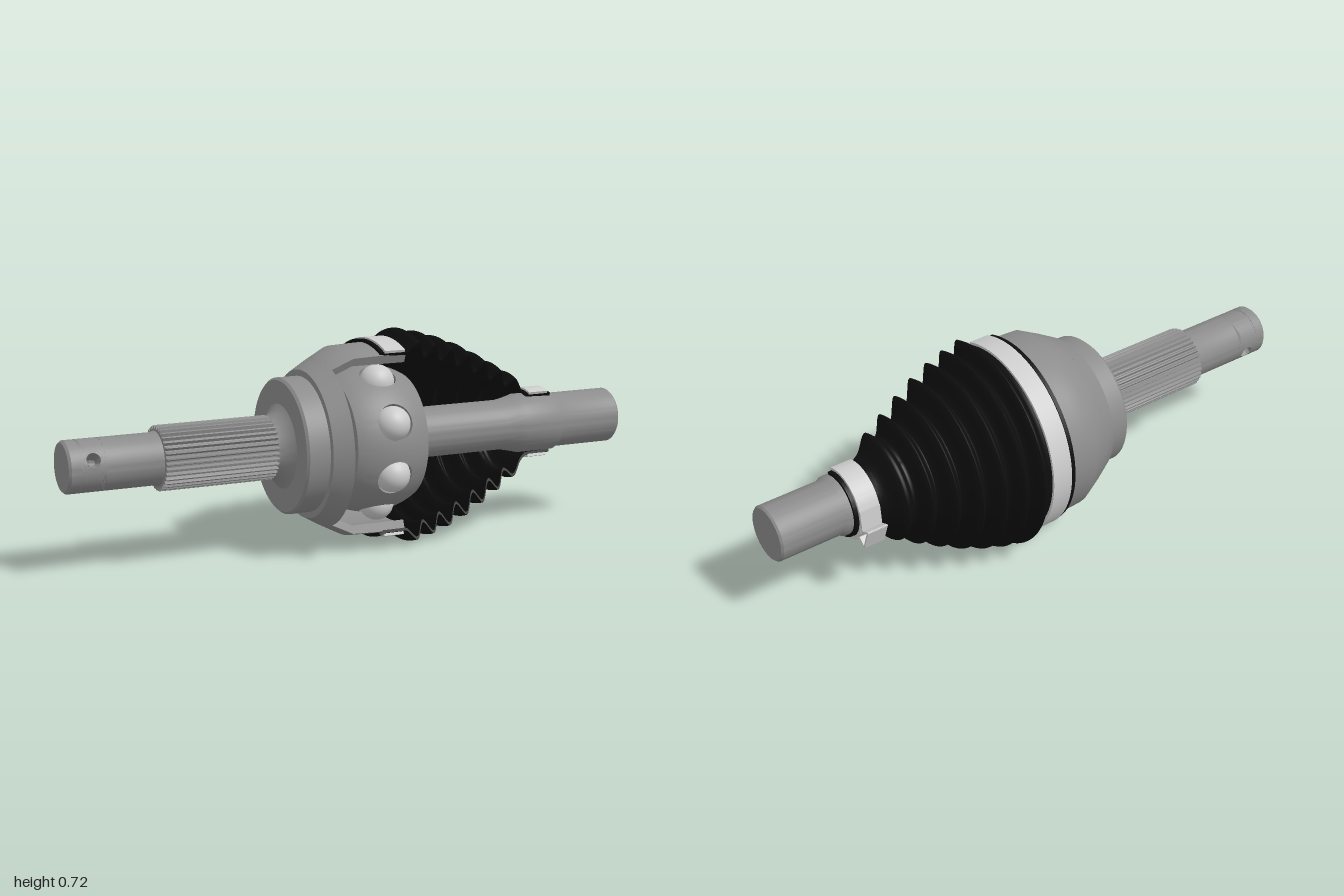
import * as THREE from 'three';
import { toCreasedNormals } from 'three/addons/utils/BufferGeometryUtils.js';

const mat = (color) => new THREE.MeshStandardMaterial({ color, side: THREE.DoubleSide });
const steel = mat(0x8c8c8c), bright = mat(0xcccccc), rubber = mat(0x0d0d0d);
const CUT = THREE.MathUtils.degToRad(67.5); // half angle of the cutaway, centred on +z
const BALLS = 8, BALL_RING = 0.22, JOINT_X = 0.052;

export function createModel() {
  const model = new THREE.Group();
  model.position.set(0, 0.358, 0.04); // the shared axis runs along x

  function add(name, geometry, material = steel) {
    const mesh = new THREE.Mesh(geometry, material);
    mesh.name = name;
    model.add(mesh);
    return mesh;
  }

  // Turned part about x from [x, radius] points; a cutaway part gets capped ends
  function turned(name, profile, material = steel, cutaway = false, crease = 0.5) {
    const pts = profile.map(([x, r]) => new THREE.Vector2(r, x));
    const start = cutaway ? CUT : 0;
    const sweep = Math.PI * 2 - 2 * start;
    const closed = cutaway ? [...pts, pts[0].clone()] : pts;
    const lathe = new THREE.LatheGeometry(closed, cutaway ? 56 : 72, start, sweep);
    const body = add(name, toCreasedNormals(lathe, crease), material);
    body.rotation.z = -Math.PI / 2;
    if (cutaway) {
      for (const phi of [start, start + sweep]) {
        const cap = new THREE.Mesh(new THREE.ShapeGeometry(new THREE.Shape(pts)), material);
        cap.name = name + 'CutFace';
        cap.rotation.y = phi - Math.PI / 2;
        body.add(cap);
      }
    }
    return body;
  }

  // Extruded section running along x, given as radius by angle
  function fluted(name, x0, x1, radiusAt, steps, bevel) {
    const pts = [];
    for (let i = 0; i < steps; i++) {
      const a = (i / steps) * Math.PI * 2, r = radiusAt(a, i);
      pts.push(new THREE.Vector2(r * Math.cos(a), r * Math.sin(a)));
    }
    const geo = new THREE.ExtrudeGeometry(new THREE.Shape(pts), {
      depth: x1 - x0 - 2 * bevel, bevelThickness: bevel, bevelSize: bevel, bevelOffset: -bevel, bevelSegments: 2,
    });
    geo.translate(0, 0, x0 + bevel).rotateY(Math.PI / 2);
    return add(name, toCreasedNormals(geo, 0.5));
  }

  // Curved wall sector with an oval hole; rOut and rIn give the radius along x
  function piercedSector(halfAngle, halfWidth, holeAngle, holeWidth, rOut, rIn) {
    const around = 48, rings = 8, rows = 2 * (rings + 1), pos = [], index = [];
    for (let k = 0; k < rows; k++) {
      const outer = k > rings;
      const s = outer ? (k - rings - 1) / rings : 1 - k / rings;
      for (let j = 0; j < around; j++) {
        const t = (j / around) * Math.PI * 2, c = Math.cos(t), d = Math.sin(t);
        const m = Math.max(Math.abs(c), Math.abs(d));
        const a = THREE.MathUtils.lerp(holeAngle * c, (halfAngle * c) / m, s);
        const x = THREE.MathUtils.lerp(holeWidth * d, (halfWidth * d) / m, s);
        const r = outer ? rOut(x) : rIn(x);
        pos.push(x, r * Math.sin(a), r * Math.cos(a));
        const n = (j + 1) % around, k2 = (k + 1) % rows;
        const A = k * around + j, B = k * around + n, C = k2 * around + n, D = k2 * around + j;
        index.push(A, B, C, A, C, D);
      }
    }
    const geo = new THREE.BufferGeometry();
    geo.setAttribute('position', new THREE.Float32BufferAttribute(pos, 3));
    geo.setIndex(index);
    return toCreasedNormals(geo, 0.6);
  }

  // Stub shaft, with a cross-drilled hole near its end
  turned('stubShaftEnd', [[-1, 0], [-1, 0.078], [-0.992, 0.085], [-0.96, 0.085], [-0.96, 0]]);
  turned('stubShaft', [[-0.88, 0], [-0.88, 0.085], [-0.7, 0.085], [-0.68, 0.092], [-0.32, 0.092]]);
  for (const side of [0, Math.PI]) {
    const drilled = add('drilledShaftSection',
      piercedSector(Math.PI / 2, 0.04, 0.28, 0.023, () => 0.085, () => 0.035));
    drilled.position.x = -0.92;
    drilled.rotation.x = side - 0.38;
  }
  fluted('stubSpline', -0.69, -0.3, (a, i) => (i % 4 < 2 ? 0.106 : 0.096), 144, 0.006);

  // Bell housing: closed base and a skirt cut open at the front
  turned('housingBase', [
    [-0.32, 0], [-0.32, 0.092], [-0.3, 0.1], [-0.275, 0.115], [-0.26, 0.14], [-0.26, 0.217], [-0.252, 0.225],
    [-0.18, 0.225], [-0.18, 0.246], [-0.12, 0.28], [-0.12, 0.25], [-0.135, 0.2], [-0.15, 0.1], [-0.155, 0],
  ]);
  turned('housingSkirt', [
    [-0.12, 0.28], [-0.05, 0.316], [0, 0.318], [0.06, 0.32], [0.14, 0.32],
    [0.14, 0.288], [-0.05, 0.288], [-0.12, 0.252],
  ], steel, true);

  // Ball cage built from one windowed sector per ball
  const sector = piercedSector(Math.PI / BALLS, 0.128, 0.25, 0.061,
    (x) => Math.sqrt(0.247 ** 2 - x * x), (x) => Math.sqrt(0.228 ** 2 - x * x * 0.8));
  const ball = new THREE.SphereGeometry(0.058, 32, 20);
  for (let i = 0; i < BALLS; i++) {
    const a = ((i + 0.5) / BALLS) * Math.PI * 2;
    const cage = add('ballCage', sector);
    cage.position.x = JOINT_X;
    cage.rotation.x = -a;
    add('ball', ball, bright).position.set(JOINT_X, BALL_RING * Math.sin(a), BALL_RING * Math.cos(a));
  }

  // Inner race with a ball groove in each gap between lobes
  const groove = 0.062, pitch = (Math.PI * 2) / BALLS;
  fluted('innerRace', -0.05, 0.15, (a) => {
    const off = BALL_RING * Math.sin((a % pitch) - pitch / 2);
    if (Math.abs(off) >= groove) return 0.188;
    return Math.min(0.188, Math.sqrt(BALL_RING ** 2 - off ** 2) - Math.sqrt(groove ** 2 - off ** 2));
  }, 192, 0.012);

  // Drive shaft
  fluted('driveShaftSpline', -0.105, -0.04, (a, i) => (i % 4 < 2 ? 0.1 : 0.092), 128, 0.003);
  turned('driveShaft', [
    [-0.09, 0], [-0.09, 0.09], [0.15, 0.09], [0.17, 0.105], [0.19, 0.1], [0.21, 0.086], [0.56, 0.086],
    [0.6, 0.094], [0.63, 0.102], [0.76, 0.102], [0.775, 0.094], [0.993, 0.094], [1, 0.088], [1, 0],
  ]);

  // Pleated boot: folds shrinking toward the shaft
  const folds = [
    [0.15, 0.328], [0.183, 0.36], [0.212, 0.305], [0.247, 0.346], [0.277, 0.285], [0.313, 0.326], [0.347, 0.258],
    [0.383, 0.298], [0.418, 0.225], [0.453, 0.262], [0.487, 0.192], [0.521, 0.224], [0.553, 0.162],
    [0.588, 0.185], [0.625, 0.135], [0.65, 0.116],
  ];
  const curve = new THREE.SplineCurve(folds.map(([x, r]) => new THREE.Vector2(x, r)));
  const outer = [[0.045, 0.332], [0.058, 0.332], [0.058, 0.326], [0.14, 0.326],
    ...curve.getPoints(105).map((p) => [p.x, p.y]), [0.745, 0.112]];
  const inner = outer.map(([x, r]) => [x, r - 0.01]).reverse();
  turned('boot', [...outer, ...inner], rubber, true, 0.8);

  // Clamp bands over both ends of the boot
  for (const [name, x0, x1, r] of [['largeClamp', 0.062, 0.134, 0.327], ['smallClamp', 0.658, 0.732, 0.113]]) {
    turned(name, [[x0, r], [x0, r + 0.009], [x1, r + 0.009], [x1, r]], bright, true);
  }

  // Folded ear of the small clamp, as [z, y] corners
  const ear = [[-0.118, 0.034], [-0.126, -0.038], [-0.159, -0.022], [-0.133, -0.094], [-0.108, -0.073], [-0.074, -0.1]];
  for (let i = 1; i < ear.length; i++) {
    const [z0, y0] = ear[i - 1], [z1, y1] = ear[i];
    const strip = add('clampEar', new THREE.BoxGeometry(0.074, 0.006, Math.hypot(z1 - z0, y1 - y0) + 0.004), bright);
    strip.position.set(0.695, (y0 + y1) / 2, (z0 + z1) / 2);
    strip.rotation.x = -Math.atan2(y1 - y0, z1 - z0);
  }

  const root = new THREE.Group();
  root.name = 'cutawayDriveJoint';
  root.add(model);
  return root;
}
